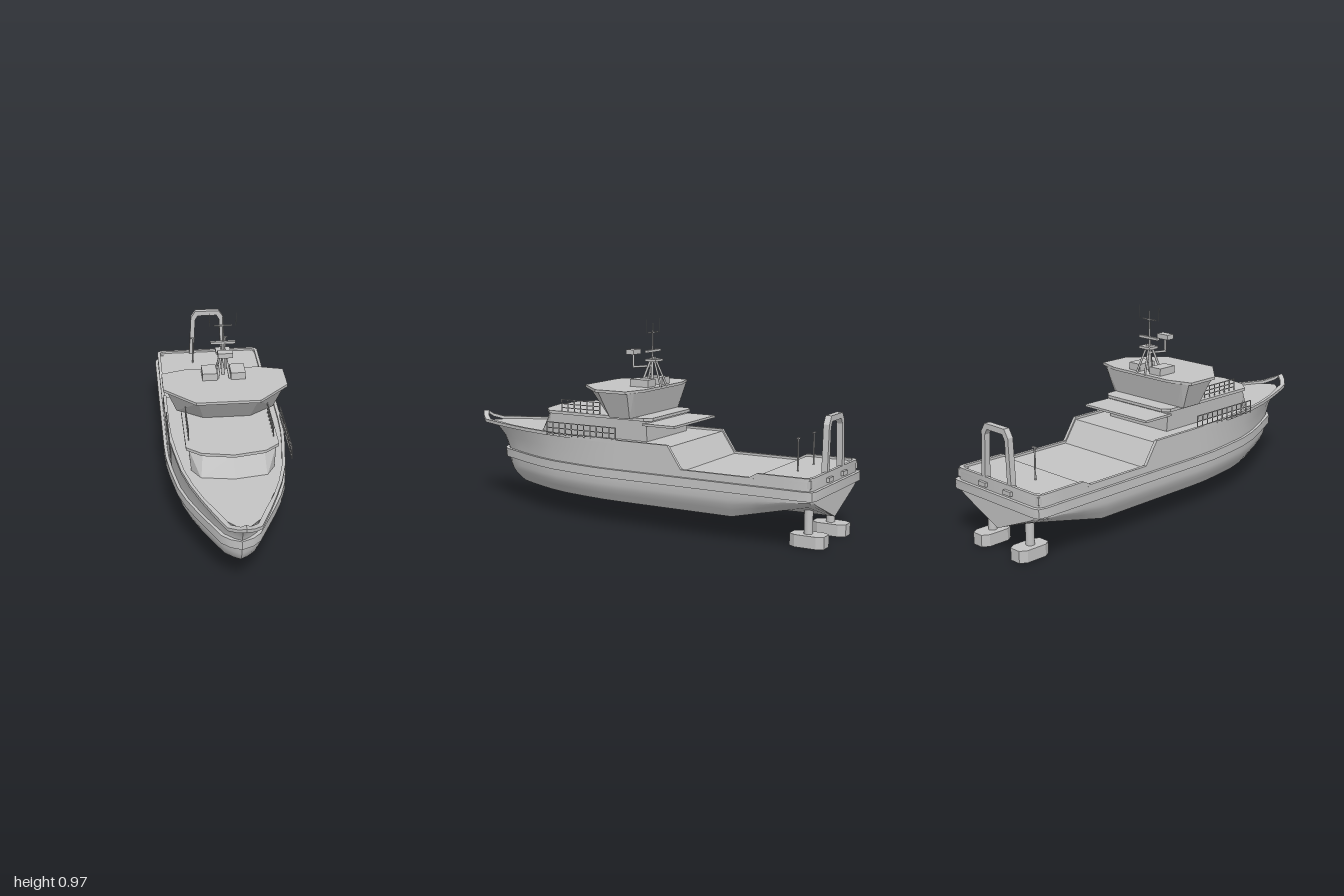
import * as THREE from 'three';
import { toCreasedNormals } from 'three/addons/utils/BufferGeometryUtils.js';
import { ConvexGeometry } from 'three/addons/geometries/ConvexGeometry.js';

const grey = new THREE.MeshStandardMaterial({ color: 0xc4c4c4 });
grey.name = 'light grey paint';

// Half outline of the deck, bow to stern: [x, z]
const STATIONS = [[0, 0.93], [0.035, 0.905], [0.072, 0.865], [0.12, 0.76], [0.165, 0.65], [0.205, 0.54],
  [0.237, 0.42], [0.262, 0.25], [0.276, 0.12], [0.28, 0], [0.28, -0.28], [0.28, -0.35], [0.28, -0.59],
  [0.28, -0.69], [0.28, -0.73], [0.28, -0.85], [0.28, -0.955], [0.272, -0.976], [0.25, -0.985], [0, -0.985]];

// Hull levels: [y, width factor, stem z]
const LEVELS = [[0.115, 0.86, 0.74], [0.15, 0.93, 0.79], [0.175, 0.975, 0.81], [0.2, 1, 0.82], [0.235, 1, 0.825], [0.277, 1, 0.83]];

function deckY(z) {
  const knots = [[-0.28, 0.405], [-0.35, 0.3], [-0.69, 0.3], [-0.73, 0.322]];
  if (z >= knots[0][0]) return knots[0][1];
  for (let i = 1; i < knots.length; i++) {
    const [z0, y0] = knots[i - 1], [z1, y1] = knots[i];
    if (z >= z1) return y0 + (y1 - y0) * (z - z0) / (z1 - z0);
  }
  return knots[3][1];
}

const stretch = (z, stem) => (z > 0 ? z * stem / 0.93 : z);

// Skin between cross-sections, mirrored across x = 0
function loft(section) {
  const rows = STATIONS.map(([x, z], i) => section(x, z, i));
  const pos = [];
  const tri = (a, b, c) => {
    pos.push(...a, ...b, ...c);
    for (const p of [a, c, b]) pos.push(-p[0], p[1], p[2]);
  };
  for (let i = 0; i < rows.length - 1; i++) {
    for (let j = 0; j < rows[i].length - 1; j++) {
      const a = rows[i][j], b = rows[i][j + 1], c = rows[i + 1][j + 1], d = rows[i + 1][j];
      tri(a, d, c);
      tri(a, c, b);
    }
  }
  const g = new THREE.BufferGeometry();
  g.setAttribute('position', new THREE.Float32BufferAttribute(pos, 3));
  return toCreasedNormals(g, 0.5);
}

// Convex block between two mirrored half outlines
function block(bottom, top, y0, y1) {
  const pts = [];
  for (const [outline, y] of [[bottom, y0], [top, y1]]) {
    for (const [x, z] of outline) {
      pts.push(new THREE.Vector3(x, y, z));
      if (x > 0) pts.push(new THREE.Vector3(-x, y, z));
    }
  }
  return new ConvexGeometry(pts);
}

export function createModel() {
  const ship = new THREE.Group();
  ship.name = 'workShip';
  const add = (name, geometry, x = 0, y = 0, z = 0, parent = ship) => {
    const m = new THREE.Mesh(geometry, grey);
    m.name = name;
    m.position.set(x, y, z);
    parent.add(m);
    return m;
  };
  const box = (name, w, h, d, x, y, z, parent) => add(name, new THREE.BoxGeometry(w, h, d), x, y, z, parent);
  const rod = (name, a, b, r0, r1 = r0, parent = ship) => {
    const p = new THREE.Vector3(...a), q = new THREE.Vector3(...b);
    const m = add(name, new THREE.CylinderGeometry(r1, r0, p.distanceTo(q), 8), 0, 0, 0, parent);
    m.position.copy(p).add(q).multiplyScalar(0.5);
    m.quaternion.setFromUnitVectors(new THREE.Vector3(0, 1, 0), q.sub(p).normalize());
    return m;
  };

  // Hull with a bilge that sweeps up toward the transom
  add('hull', loft((x, z) => {
    const rise = 0.75 * THREE.MathUtils.clamp((-0.59 - z) / 0.39, 0, 1);
    const pts = [[0, 0.115, stretch(z, 0.74)]];
    for (const [y, w, stem] of LEVELS) {
      pts.push([x * w, y < 0.235 ? y + (0.235 - y) * rise : y, stretch(z, stem)]);
    }
    const top = deckY(z);
    pts.push([x, 0.277 + (top - 0.277) * 0.5, stretch(z, 0.86)], [x, top, z], [0, top, z]);
    return pts;
  }));

  // Rubbing band around the hull
  add('rubbingBand', loft((x, z, i) => {
    const zi = stretch(z, 0.83);
    const zo = zi + (i < 3 ? 0.01 : z < -0.97 ? -0.015 : 0);
    const xo = x > 0 ? x + 0.015 : 0;
    return [[x, 0.235, zi], [xo, 0.235, zo], [xo, 0.277, zo], [x, 0.277, zi]];
  }));

  // Deck edge rim, standing proud of the bow
  add('deckRim', loft((x, z, i) => {
    const zo = stretch(z, 1);
    const zi = zo + (i === 0 ? -0.035 : i < 4 ? -0.02 : z < -0.97 ? 0.015 : 0);
    const xi = Math.max(0, x - 0.014), xo = x > 0 ? x + 0.002 : 0;
    const y = deckY(z) - 0.005 + (i === 0 ? 0.034 : i === 1 ? 0.017 : 0);
    return [[xo, y, zo], [xo, y + 0.016, zo], [xi, y + 0.016, zi], [xi, y, zi], [xo, y, zo]];
  }));

  // Deckhouse
  add('deckhouse', block([[0, 0.535], [0.15, 0.51], [0.19, 0.44], [0.19, -0.12]],
    [[0, 0.49], [0.14, 0.465], [0.2, 0.42], [0.2, -0.12]], 0.4, 0.506));
  const roof1 = [[0, 0.51], [0.145, 0.482], [0.212, 0.425], [0.212, -0.115], [0.18, -0.145]];
  add('deckhouseRoof', block(roof1, roof1, 0.503, 0.517));
  box('aftCanopy', 0.41, 0.011, 0.17, 0, 0.486, -0.187);

  // Flared wheelhouse
  add('wheelhouse', block([[0.11, 0.15], [0.232, 0.06], [0.232, -0.05], [0.2, -0.06]],
    [[0.14, 0.235], [0.28, 0.095], [0.28, -0.065], [0.25, -0.085]], 0.512, 0.637));
  const roof2 = [[0.15, 0.25], [0.295, 0.1], [0.295, 0.065 - 0.13], [0.18, -0.1]];
  add('wheelhouseRoof', block(roof2, roof2, 0.635, 0.648));

  // Mast, radar and aerials
  const mast = new THREE.Group();
  mast.name = 'mast';
  ship.add(mast);
  rod('mastPole', [0, 0.648, -0.035], [0, 0.945, -0.04], 0.008, 0.003, mast);
  box('topYard', 0.085, 0.005, 0.008, 0, 0.902, -0.04, mast);
  box('middleYard', 0.12, 0.012, 0.016, 0, 0.814, -0.04, mast);
  box('mastPlatform', 0.07, 0.012, 0.06, 0, 0.769, -0.045, mast);
  rod('radarArm', [0, 0.74, -0.035], [0, 0.73, 0.07], 0.006, 0.006, mast);
  rod('radarPost', [0, 0.728, 0.07], [0, 0.795, 0.07], 0.006, 0.006, mast);
  box('radarBox', 0.07, 0.024, 0.04, 0, 0.804, 0.07, mast);
  for (const s of [-1, 1]) {
    rod('mastLeg', [s * 0.03, 0.645, 0.01], [s * 0.006, 0.78, -0.035], 0.006, 0.006, mast);
    rod('mastStay', [s * 0.028, 0.645, -0.1], [s * 0.005, 0.785, -0.045], 0.005, 0.005, mast);
    rod('whipAerial', [s * 0.062, 0.9, -0.04], [s * 0.064, 0.966, -0.04], 0.0015, 0.0015, mast);
    box('roofLocker', 0.07, 0.036, 0.1, s * 0.068, 0.665, -0.022);
  }

  // Railings
  const railing = (name, x, z0, z1, y0, heights, posts) => {
    const g = new THREE.Group();
    g.name = name;
    ship.add(g);
    const top = Math.max(...heights);
    for (const y of heights) box('rail', 0.004, 0.004, z1 - z0, x, y, (z0 + z1) / 2, g);
    for (let i = 0; i < posts; i++) {
      box('railPost', 0.004, top - y0, 0.004, x, (top + y0) / 2, z0 + (z1 - z0) * i / (posts - 1), g);
    }
  };
  for (const s of [-1, 1]) {
    railing('deckRailing', s * 0.278, 0, 0.39, 0.41, [0.418, 0.445, 0.472], 12);
    railing('upperRailing', s * 0.195, 0.14, 0.36, 0.515, [0.533, 0.552, 0.572], 7);
  }

  // Stern gantry
  const frame = new THREE.Shape([[-0.102, 0], [-0.09, 0.225], [-0.066, 0.262], [0.066, 0.262], [0.09, 0.225], [0.102, 0],
    [0.076, 0], [0.067, 0.21], [0.052, 0.236], [-0.052, 0.236], [-0.067, 0.21], [-0.076, 0]].map(p => new THREE.Vector2(...p)));
  add('sternGantry', new THREE.ExtrudeGeometry(frame, { depth: 0.028, bevelEnabled: false }), 0, 0.316, -0.984);

  // Stern fittings and steering pods
  const podPlan = [[0.028, 0.082], [0.048, 0.05], [0.048, -0.05], [0.028, -0.082]];
  for (const s of [-1, 1]) {
    rod('deckPost', [s * 0.09, 0.32, -0.84], [s * 0.09, 0.47, -0.84], 0.004);
    box('deckPostCap', 0.028, 0.006, 0.008, s * 0.09, 0.47, -0.84);
    box('sternFairlead', 0.05, 0.02, 0.02, s * 0.085, 0.3, -0.988);
    box('cornerBollard', 0.03, 0.035, 0.04, s * 0.262, 0.306, -0.962);
    add('podStem', new THREE.CylinderGeometry(0.02, 0.02, 0.13, 16), s * 0.13, 0.115, -0.913);
    add('steeringPod', block(podPlan, podPlan, 0, 0.056), s * 0.13, 0, -0.917);
  }
  return ship;
}
